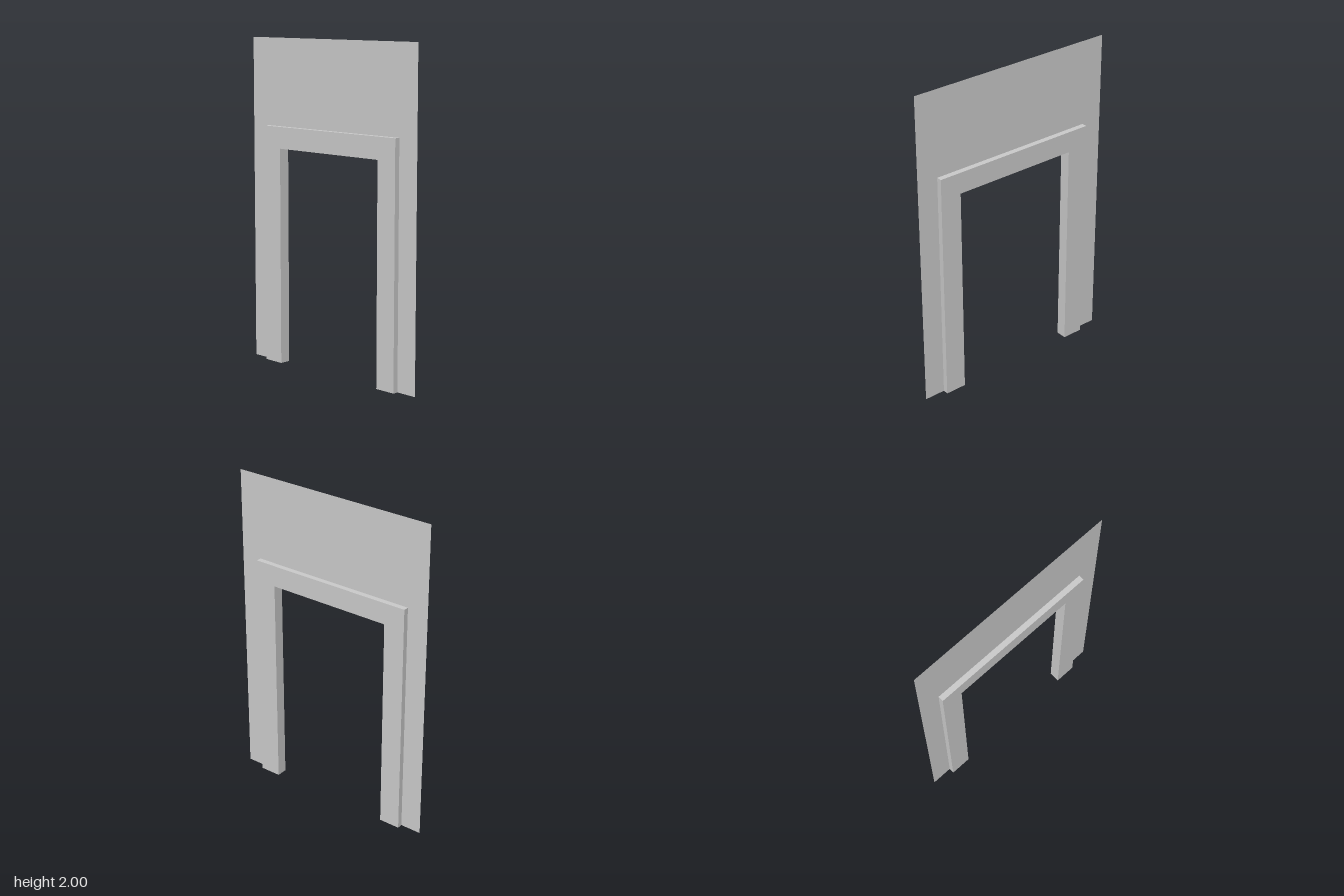
import * as THREE from 'three';

const W = 1.333, H = 2;               // wall panel
const FW = 1.067, FH = 1.467;         // outside of the door frame
const OW = 0.8, OH = 1.335;           // clear opening
const DEPTH = 0.068;

// Upside-down U standing on y = 0
function archShape(outerW, outerH, innerW, innerH) {
  const o = outerW / 2, i = innerW / 2;
  return new THREE.Shape([
    [-o, 0], [-i, 0], [-i, innerH], [i, innerH],
    [i, 0], [o, 0], [o, outerH], [-o, outerH],
  ].map(([x, y]) => new THREE.Vector2(x, y)));
}

// Drop the triangles lying on the ground, leaving the feet open
function openBottom(geometry) {
  const p = geometry.getAttribute('position');
  const kept = [];
  for (let i = 0; i < p.count; i += 3) {
    const top = Math.max(p.getY(i), p.getY(i + 1), p.getY(i + 2));
    if (top < 1e-6) continue;
    for (let k = i; k < i + 3; k++) kept.push(p.getX(k), p.getY(k), p.getZ(k));
  }
  const open = new THREE.BufferGeometry();
  open.setAttribute('position', new THREE.Float32BufferAttribute(kept, 3));
  open.computeVertexNormals();
  return open;
}

export function createModel() {
  const group = new THREE.Group();
  group.name = 'doorway';
  const material = new THREE.MeshStandardMaterial({ color: 0xcccccc, side: THREE.DoubleSide });

  // Paper-thin wall around the frame
  const wall = new THREE.Mesh(new THREE.ShapeGeometry(archShape(W, H, FW, FH)), material);
  wall.name = 'wall';
  group.add(wall);

  // Hollow door frame projecting on both sides of the wall
  const solid = new THREE.ExtrudeGeometry(archShape(FW, FH, OW, OH), { depth: DEPTH, bevelEnabled: false });
  solid.translate(0, 0, -DEPTH / 2);
  const frame = new THREE.Mesh(openBottom(solid), material);
  frame.name = 'doorFrame';
  group.add(frame);

  return group;
}
